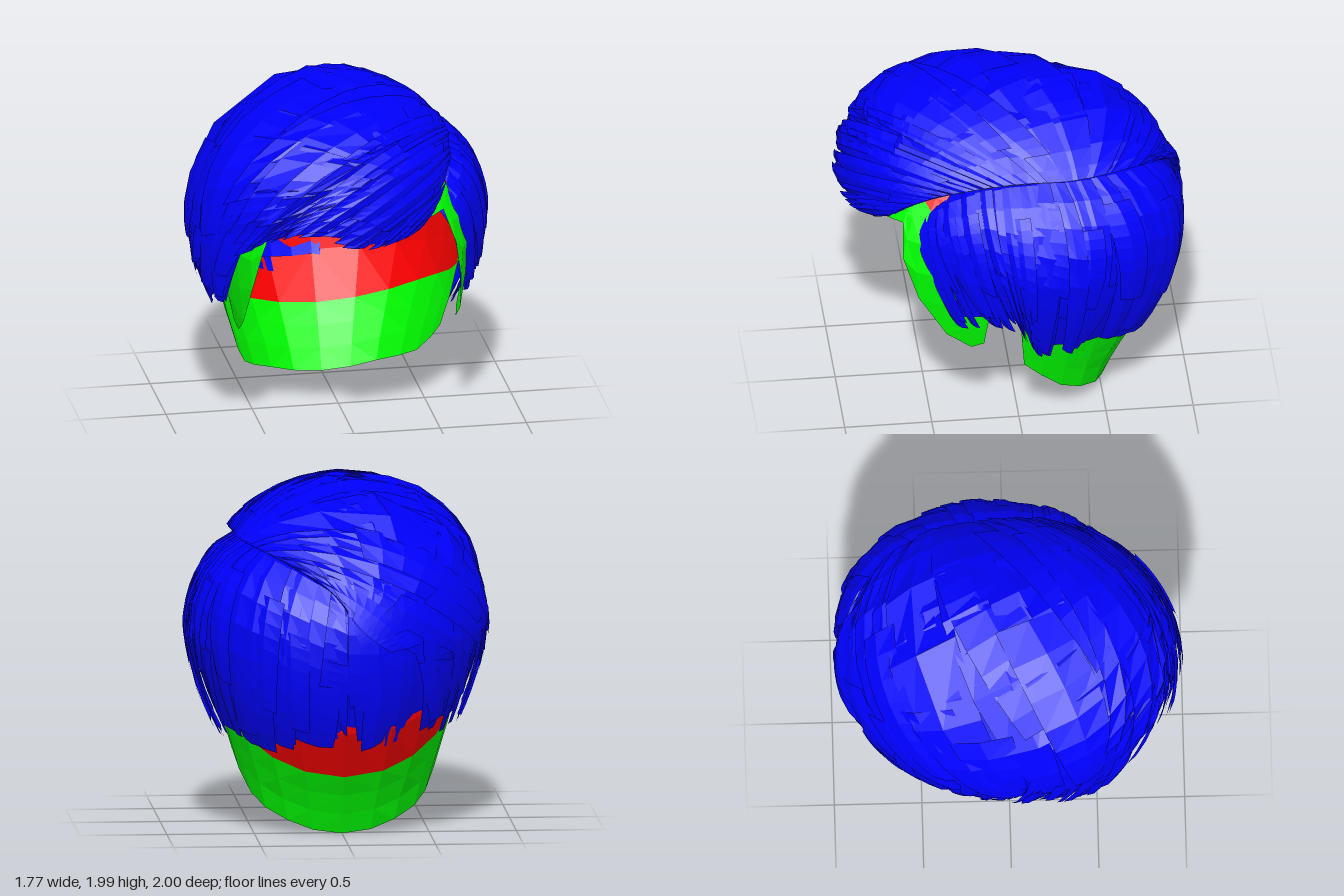
import * as THREE from 'three';

const CENTRE = new THREE.Vector3(0, 1.15, -0.05);
const V = (p) => new THREE.Vector3(...p);
const material = (color) => new THREE.MeshStandardMaterial({ color, flatShading: true, side: THREE.DoubleSide });

let seed = 7;
const random = () => (seed = (seed * 16807) % 2147483647) / 2147483647;
const between = (a, b) => a + (b - a) * random();

// Piecewise linear lookup: rows are [key, value, value...]
function lookup(rows, key, column) {
  for (let i = 1; i < rows.length; i++) {
    if (key <= rows[i][0]) {
      const [a, b] = [rows[i - 1], rows[i]];
      const t = Math.max(0, (key - a[0]) / (b[0] - a[0]));
      return a[column] + (b[column] - a[column]) * t;
    }
  }
  return rows[rows.length - 1][column];
}

// Appends a grid of points (nu x nv cells) to a triangle soup
function addGrid(out, nu, nv, point) {
  for (let i = 0; i < nu; i++) {
    for (let j = 0; j < nv; j++) {
      const [a, b, c, d] = [point(i, j), point(i + 1, j), point(i + 1, j + 1), point(i, j + 1)];
      for (const p of [a, b, c, a, c, d]) out.push(p.x, p.y, p.z);
    }
  }
}

function makeMesh(name, positions, mat) {
  const geometry = new THREE.BufferGeometry();
  geometry.setAttribute('position', new THREE.Float32BufferAttribute(positions, 3));
  geometry.computeVertexNormals();
  const mesh = new THREE.Mesh(geometry, mat);
  mesh.name = name;
  return mesh;
}

// Outer volume of the hair: a rounded hull met by a ray from the centre,
// fuller at the forelock, leaning to the right in front, lower on the left, drawn in below
function hull(direction, offset) {
  const v = direction.clone().normalize();
  const p = 2 + 1.2 * Math.max(0, v.z);
  const lean = (v.z > 0 ? 0.13 : 0.06) * v.z;
  const width = 0.855 * (1 + 0.12 * Math.min(0, v.y));
  const round = Math.hypot((v.x + lean) / width, v.z / (v.z > 0 ? 1.03 : 0.94));
  const height = v.y > 0 ? 0.835 * (1 - 0.12 * Math.max(0, v.x)) : 1.1;
  const sum = round ** p + Math.abs(v.y / height) ** p;
  return v.multiplyScalar(sum ** (-1 / p) + offset).add(CENTRE);
}

// A sheet of overlapping locks combed from a root curve to a tip curve
function hairPanel(name, roots, tips, rootDrop, count, mat) {
  const curve = (points) => new THREE.CatmullRomCurve3(points.map((p) => V(p).sub(CENTRE)));
  const rootCurve = curve(roots);
  const tipCurve = curve(tips);
  const at = (u, t, offset) => {
    const k = Math.min(1, Math.max(0, u));
    const a = rootCurve.getPoint(k).normalize();
    const b = tipCurve.getPoint(k).normalize();
    const drop = rootDrop * Math.max(0, 1 - t / 0.4) ** 2;
    return hull(a.lerp(b, t), offset - drop);
  };
  const out = [];
  // closed under-layer
  addGrid(out, 24, 12, (i, j) => at(i / 24, j / 12 * 0.97, -0.02));
  // long locks first, then shorter layered ones
  for (let layer = 0; layer < 2; layer++) {
    for (let i = 0; i < count; i++) {
      const width = between(1.3, 2.2) / count;
      const u0 = i / count - 0.2 / count;
      const start = layer ? between(0.15, 0.65) : 0;
      const end = layer ? Math.min(1.02, start + between(0.3, 0.5)) : between(0.95, 1.06);
      const lift = between(-0.005, 0.015) + layer * 0.006;
      const flare = between(-0.01, 0.02);
      const skew = between(-0.8, 0.8) / count;
      addGrid(out, 2, 9, (k, j) => {
        const s = j / 9;
        const t = start + (end - start) * s;
        const taper = 1 - 0.3 * s * s;
        const u = u0 + width * (0.5 + (k / 2 - 0.5) * taper) + skew * s;
        return at(u, t + (k - 1) * 0.015 * s, lift + flare * s + (k === 0 ? -0.018 : 0));
      });
    }
  }
  return makeMesh(name, out, mat);
}

// Scalp sections: height, half width, depth to the back
const SECTIONS = [
  [0, 0.5, 0.48], [0.2, 0.53, 0.57], [0.35, 0.57, 0.66], [0.55, 0.63, 0.77],
  [0.65, 0.66, 0.83], [0.8, 0.69, 0.86], [1.1, 0.73, 0.88],
];
// Scalp rim: angle from the front, rim height, height where the colour changes
const RIM = [
  [0, 1.31, 1.35], [0.3, 1.35, 1.39], [0.5, 1.39, 1.45], [0.6, 1.4, 1.55], [0.66, 1.2, 1.55],
  [0.76, 0.95, 1.5], [0.92, 0.7, 1.35], [1.08, 0.6, 1.1], [1.18, 0.63, 0.95], [1.23, 0.82, 0.92],
  [1.36, 0.86, 0.92], [1.48, 0.82, 0.9], [1.5, 0.6, 0.85], [1.52, 0.43, 0.8], [1.7, 0.32, 0.72],
  [1.94, 0.2, 0.64], [2.2, 0.13, 0.55], [2.5, 0.07, 0.45], [2.8, 0.02, 0.38], [Math.PI, 0.0, 0.35],
];

function scalpPoint(angle, y) {
  const shrink = y > 1.1 ? Math.sqrt(Math.max(0, 1 - ((y - 1.1) / 0.79) ** 2)) : 1;
  const width = lookup(SECTIONS, y, 1);
  const sin = Math.abs(Math.sin(angle));
  const cos = Math.cos(angle);
  const depth = cos > 0 ? 0.94 : lookup(SECTIONS, y, 2);
  const p = cos > 0 ? 2 + 0.7 * Math.min(1, cos * 2) : 2;
  const r = shrink * ((sin / width) ** p + (Math.abs(cos) / depth) ** p) ** (-1 / p);
  return new THREE.Vector3(Math.sin(angle) * r, y, -0.05 + cos * r);
}

export function createModel() {
  const group = new THREE.Group();
  group.name = 'hairpiece';
  const blue = material(0x0000ff);

  // scalp cap and its border band, mirrored left and right
  const cap = [];
  const band = [];
  for (const side of [1, -1]) {
    addGrid(cap, RIM.length - 1, 9, (i, j) => {
      const [a, , border] = RIM[i];
      const e = Math.sin((j / 9) * Math.PI / 2);
      return scalpPoint(side * a, border + (1.89 - border) * e);
    });
    addGrid(band, RIM.length - 1, 3, (i, j) => {
      const [a, low, border] = RIM[i];
      return scalpPoint(side * a, low + (border - low) * j / 3);
    });
  }
  group.add(makeMesh('scalpCap', cap, material(0xff0000)));
  group.add(makeMesh('scalpBorder', band, material(0x00ff00)));

  // top hair, combed from the parting over to the right and forward
  group.add(hairPanel('topHair',
    [[0.4, 1.39, 0.72], [0.49, 1.54, 0.5], [0.54, 1.62, 0.25], [0.54, 1.64, 0], [0.52, 1.63, -0.3],
      [0.39, 1.6, -0.62], [0.03, 1.42, -0.93]],
    [[0.31, 1.33, 0.8], [0, 1.31, 0.95], [-0.33, 1.41, 0.92], [-0.66, 1.24, 0.68], [-0.85, 1.12, 0.2],
      [-0.78, 1.08, -0.4], [-0.1, 1.05, -0.95]],
    0.01, 28, blue));

  // lower sides, from the parting (left) or from under the top hair (right) to the nape
  const leftTips = [[0.68, 0.77, 0.44], [0.73, 0.84, 0.24], [0.76, 0.83, 0.04], [0.7, 0.59, -0.08],
    [0.65, 0.54, -0.3], [0.45, 0.57, -0.65], [0, 0.56, -0.85]];
  const rightTips = leftTips.map(([x, y, z]) => [-x, y + 0.14 * x, z]);
  group.add(hairPanel('leftSideHair',
    [[0.5, 1.47, 0.68], [0.52, 1.62, 0.46], [0.52, 1.71, 0.25], [0.51, 1.74, 0], [0.49, 1.73, -0.3],
      [0.35, 1.68, -0.62], [0, 1.5, -0.93]],
    leftTips, 0.12, 24, blue));
  group.add(hairPanel('rightSideHair',
    [[-0.6, 1.4, 0.7], [-0.72, 1.4, 0.42], [-0.78, 1.38, 0.2], [-0.8, 1.35, -0.05], [-0.7, 1.35, -0.4],
      [-0.42, 1.4, -0.75], [0, 1.5, -0.93]],
    rightTips, 0.03, 24, blue));
  return group;
}
